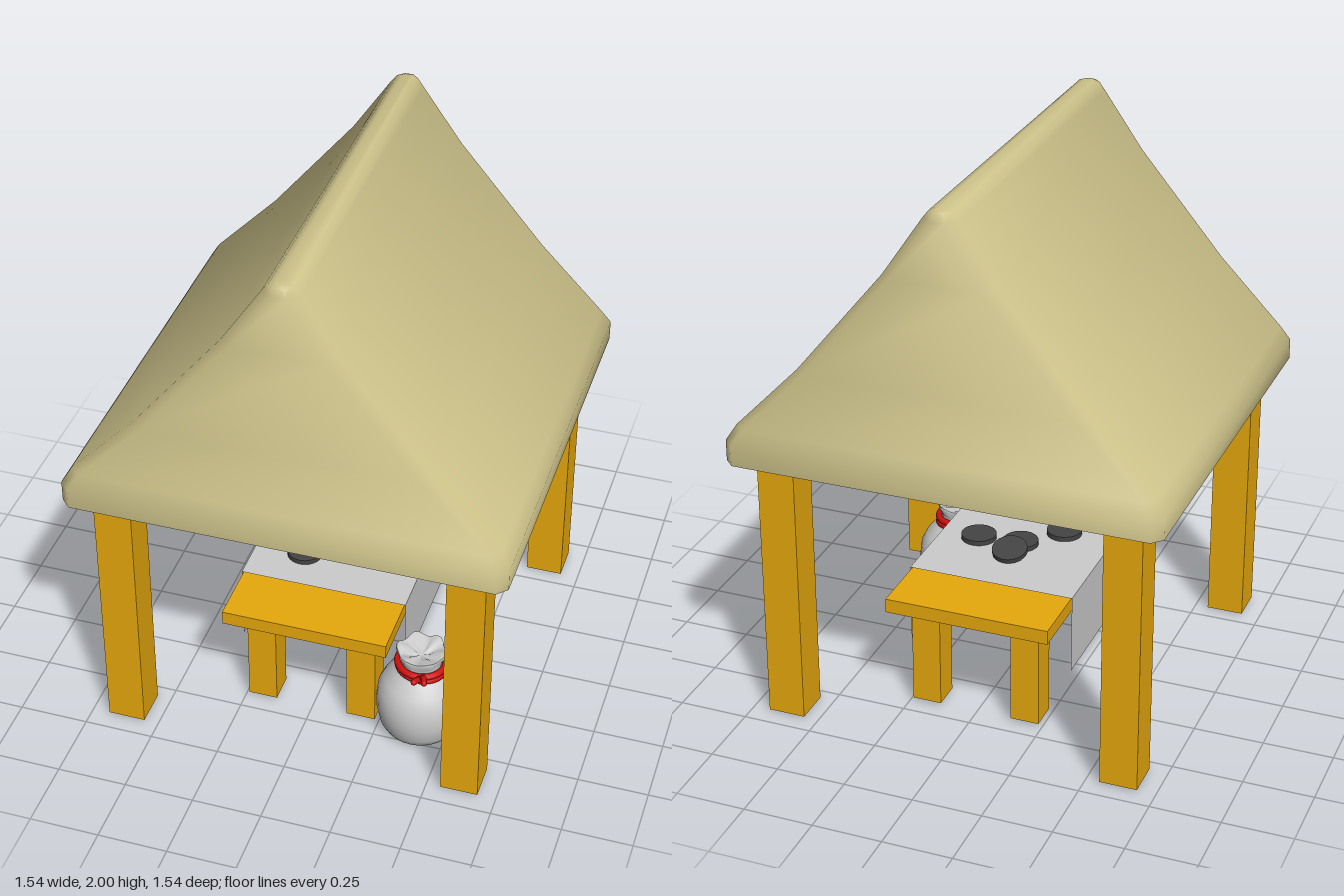
import * as THREE from 'three';
import { toCreasedNormals } from 'three/addons/utils/BufferGeometryUtils.js';

const mat = (color, side = THREE.FrontSide) => new THREE.MeshStandardMaterial({ color, side });
const thatch = mat(0xcdc28a), wood = mat(0xe6a80c), grey = mat(0xcccccc);
const cloth = mat(0xcccccc, THREE.DoubleSide), dark = mat(0x444444), red = mat(0xd01010);

function add(parent, name, geometry, material, x = 0, y = 0, z = 0) {
  const mesh = new THREE.Mesh(geometry, material);
  mesh.name = name;
  mesh.position.set(x, y, z);
  parent.add(mesh);
  return mesh;
}

// Box standing on height y0 and reaching y1
const block = (parent, name, w, y0, y1, d, x, z) =>
  add(parent, name, new THREE.BoxGeometry(w, y1 - y0, d), wood, x, (y0 + y1) / 2, z);

// Roof: chamfered rectangles stacked from eave to ridge, capped at both ends
function roofGeometry() {
  const levels = [ // height, half width, half depth
    [1.01, 0.77, 0.77], [1.085, 0.77, 0.77], [1.14, 0.737, 0.75], [1.38, 0.505, 0.747],
    [1.755, 0.2, 0.73], [1.965, 0.06, 0.716], [1.992, 0.038, 0.708], [2.0, 0.018, 0.69],
  ];
  const positions = [], index = [];
  for (const [y, w, d] of levels) {
    const c = Math.min(0.035, w * 0.6);
    const ring = [[w, d - c], [w, c - d], [w - c, -d], [c - w, -d],
      [-w, c - d], [-w, d - c], [c - w, d], [w - c, d]];
    for (const [x, z] of ring) positions.push(x, y, z);
  }
  const n = 8, last = (levels.length - 1) * n;
  for (let i = 0; i < levels.length - 1; i++) {
    for (let j = 0; j < n; j++) {
      const a = i * n + j, b = i * n + (j + 1) % n;
      index.push(a, b, b + n, a, b + n, a + n);
    }
  }
  for (let j = 1; j < n - 1; j++) {
    index.push(0, j + 1, j);
    index.push(last, last + j, last + j + 1);
  }
  const g = new THREE.BufferGeometry();
  g.setAttribute('position', new THREE.Float32BufferAttribute(positions, 3));
  g.setIndex(index);
  return toCreasedNormals(g, 1.0);
}

// Sack: turned body whose gathered mouth is ruffled
function sackGeometry() {
  const profile = [[0, 0], [0.1, 0.004], [0.13, 0.015], [0.146, 0.045], [0.157, 0.1], [0.158, 0.14],
    [0.152, 0.19], [0.132, 0.23], [0.1, 0.265], [0.08, 0.285], [0.072, 0.3], [0.075, 0.32],
    [0.088, 0.345], [0.086, 0.355], [0.07, 0.352], [0.03, 0.335], [0, 0.33]];
  const g = new THREE.LatheGeometry(profile.map(([r, y]) => new THREE.Vector2(r, y)), 32);
  const p = g.attributes.position;
  for (let i = 0; i < p.count; i++) {
    const x = p.getX(i), y = p.getY(i), z = p.getZ(i);
    const r = Math.hypot(x, z);
    if (y < 0.31 || r < 0.02) continue;
    const wave = Math.cos(Math.atan2(z, x) * 6), k = 1 + 0.06 * wave;
    p.setXYZ(i, x * k, y + 0.006 * wave, z * k);
  }
  return toCreasedNormals(g, 1.2);
}

export function createModel() {
  const model = new THREE.Group();
  model.name = 'marketStall';

  add(model, 'roof', roofGeometry(), thatch);

  // Four corner posts
  for (const sx of [-1, 1]) for (const sz of [-1, 1])
    block(model, 'post', 0.134, 0.01, 1.012, 0.134, sx * 0.618, sz * 0.618);

  // Table
  const table = new THREE.Group();
  table.name = 'table';
  model.add(table);
  block(table, 'tableTop', 0.6, 0.4, 0.452, 1.04, 0, 0);
  for (const sx of [-1, 1]) for (const sz of [-1, 1])
    block(table, 'tableLeg', 0.105, 0.015, 0.4, 0.105, sx * 0.185, sz * 0.385);

  // Cloth laid over the table and hanging down on both sides
  const top = add(model, 'clothTop', new THREE.PlaneGeometry(0.61, 0.59), cloth, 0, 0.457, 0.003);
  top.rotation.x = -Math.PI / 2;
  for (const s of [-1, 1]) {
    const drape = add(model, 'clothDrape', new THREE.PlaneGeometry(0.59, 0.292), cloth, s * 0.305, 0.311, 0.003);
    drape.rotation.y = s * Math.PI / 2;
  }

  // Round discs on the cloth, the last one leaning on its neighbour
  const disc = toCreasedNormals(new THREE.CylinderGeometry(0.064, 0.064, 0.018, 24), 0.8);
  for (const [x, y, z, tilt] of [[-0.12, 0.468, 0.135, 0], [0, 0.468, 0.005, 0],
    [0.158, 0.468, -0.005, 0], [0.005, 0.484, -0.09, -0.25]])
    add(model, 'disc', disc, dark, x, y, z).rotation.x = tilt;

  // Sack tied with a cord
  const sack = new THREE.Group();
  sack.name = 'sack';
  sack.position.set(0.395, 0.003, 0.395);
  model.add(sack);
  add(sack, 'sackBody', sackGeometry(), grey);
  for (const [y, tilt] of [[0.288, -0.12], [0.303, -0.04]]) {
    const cord = add(sack, 'cord', new THREE.TorusGeometry(0.085, 0.012, 10, 32), red, 0, y, 0);
    cord.rotation.set(Math.PI / 2, tilt, 0);
  }
  add(sack, 'knot', new THREE.SphereGeometry(0.018, 12, 8), red, 0.025, 0.3, 0.092);
  for (const [x, y, z] of [[0.05, 0.335, 0.145], [0.01, 0.32, 0.135]]) {
    const path = new THREE.CatmullRomCurve3([new THREE.Vector3(0.025, 0.3, 0.09),
      new THREE.Vector3(x * 0.6 + 0.01, y - 0.005, 0.115), new THREE.Vector3(x, y, z)]);
    add(sack, 'cordEnd', new THREE.TubeGeometry(path, 10, 0.011, 8), red);
    add(sack, 'cordTip', new THREE.SphereGeometry(0.011, 8, 6), red, x, y, z);
  }

  return model;
}
